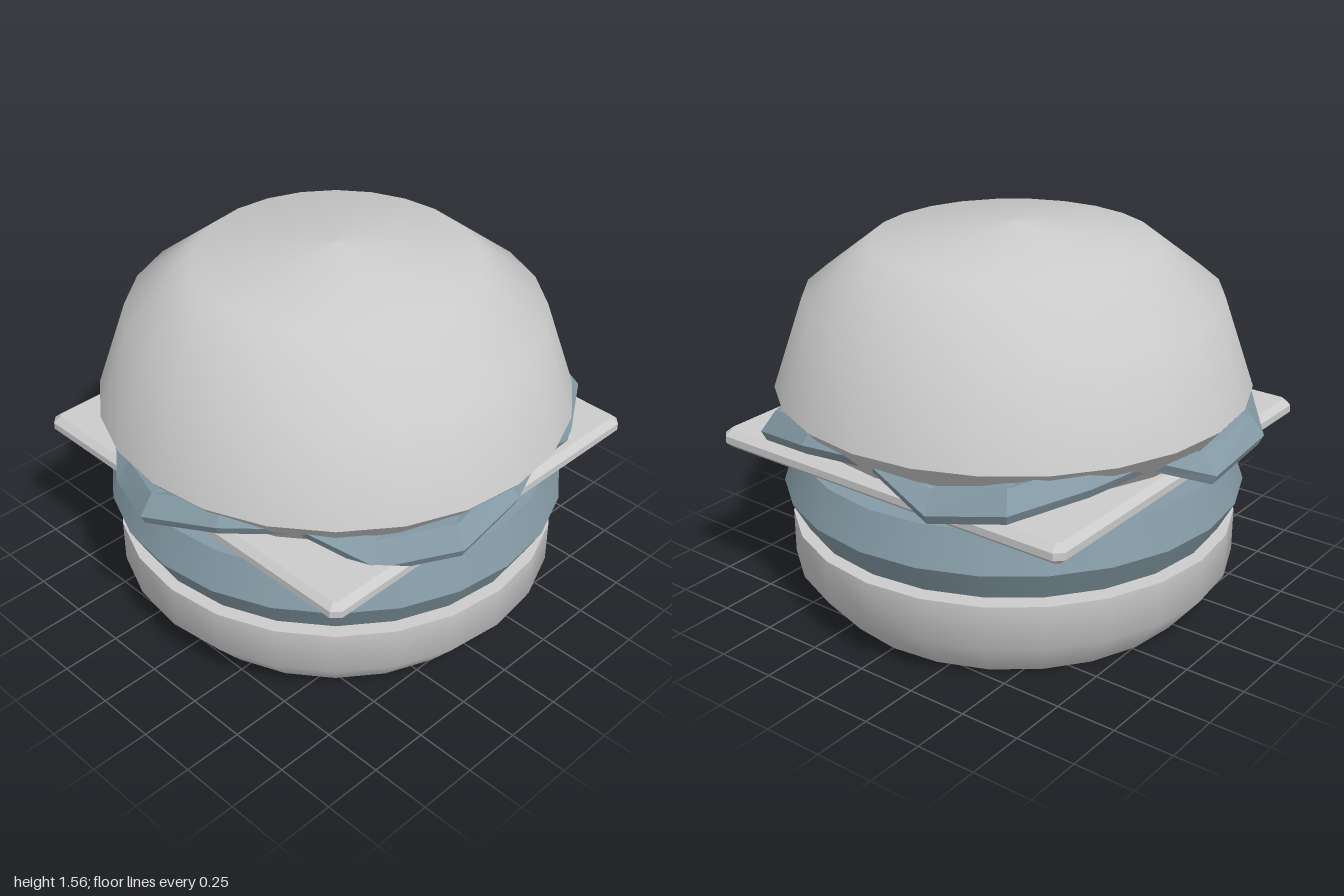
import * as THREE from 'three';
import { mergeGeometries } from 'three/addons/utils/BufferGeometryUtils.js';

const CENTER_Z = -0.035;
const SIDES = 24;

const grey = new THREE.MeshStandardMaterial({ color: 0xcccccc });
const slate = new THREE.MeshStandardMaterial({ color: 0x849aa5 });
const slateFlat = new THREE.MeshStandardMaterial({ color: 0x849aa5, flatShading: true });

// Turned part: each profile is smooth, and the joints between profiles stay sharp
function turned(name, material, profiles) {
  const pieces = profiles.map((points) =>
    new THREE.LatheGeometry(points.map(([r, y]) => new THREE.Vector2(r, y)), SIDES));
  const mesh = new THREE.Mesh(mergeGeometries(pieces), material);
  mesh.name = name;
  mesh.position.z = CENTER_Z;
  return mesh;
}

// Thin square slice with clipped corners and a bevelled rim
function cheeseSlice() {
  const h = 0.815, c = 0.015;
  const corners = [[h, c - h], [h, h - c], [h - c, h], [c - h, h], [-h, h - c], [-h, c - h], [c - h, -h], [h - c, -h]];
  const shape = new THREE.Shape(corners.map(([x, y]) => new THREE.Vector2(x, y)));
  const geometry = new THREE.ExtrudeGeometry(shape, {
    depth: 0.03, bevelThickness: 0.025, bevelSize: 0.028, bevelSegments: 1,
  });
  geometry.rotateX(-Math.PI / 2);
  const mesh = new THREE.Mesh(geometry, grey);
  mesh.name = 'cheeseSlice';
  mesh.position.set(0, 0.685, CENTER_Z);
  return mesh;
}

// Wavy leaf ring: five lobes that dip on one side and rise on the other
function lettuce() {
  const wave = [[1.035, 0.79], [0.97, 0.845], [0.9, 0.86], [0.965, 0.73]]; // rim radius and height
  const count = 20;
  const positions = [], index = [];
  for (let i = 0; i < count; i++) {
    const a = (i / count) * Math.PI * 2;
    const [r, y] = wave[i % wave.length];
    const section = [
      [r - 0.02, y - 0.04], [r, y], [r - 0.06, y + 0.08],
      [0.7, 0.86], [0.7, 0.81], [r - 0.1, y + 0.01],
    ];
    for (const [sr, sy] of section) positions.push(sr * Math.sin(a), sy, sr * Math.cos(a));
    for (let j = 0; j < 6; j++) {
      const k = (j + 1) % 6, n = ((i + 1) % count) * 6, p = i * 6;
      index.push(p + j, n + j, n + k, p + j, n + k, p + k);
    }
  }
  const geometry = new THREE.BufferGeometry();
  geometry.setAttribute('position', new THREE.Float32BufferAttribute(positions, 3));
  geometry.setIndex(index);
  geometry.computeVertexNormals();
  const mesh = new THREE.Mesh(geometry, slateFlat);
  mesh.name = 'lettuce';
  mesh.position.z = CENTER_Z;
  return mesh;
}

export function createModel() {
  const burger = new THREE.Group();
  burger.name = 'burger';
  burger.add(
    turned('bottomBun', grey, [
      [[0, 0], [0.78, 0]],
      [[0.78, 0], [0.918, 0.17], [0.918, 0.355]],
      [[0.918, 0.355], [0, 0.365]],
    ]),
    turned('patty', slate, [
      [[0, 0.375], [0.88, 0.375]],
      [[0.88, 0.375], [0.947, 0.5]],
      [[0.947, 0.5], [0.89, 0.655]],
      [[0.89, 0.655], [0, 0.655]],
    ]),
    cheeseSlice(),
    lettuce(),
    turned('topBun', grey, [
      [[0, 0.77], [0.85, 0.77]],
      [[0.85, 0.77], [0.965, 0.91]],
      [[0.965, 0.91], [0.838, 1.28], [0.568, 1.49], [0, 1.56]],
    ]),
  );
  return burger;
}
